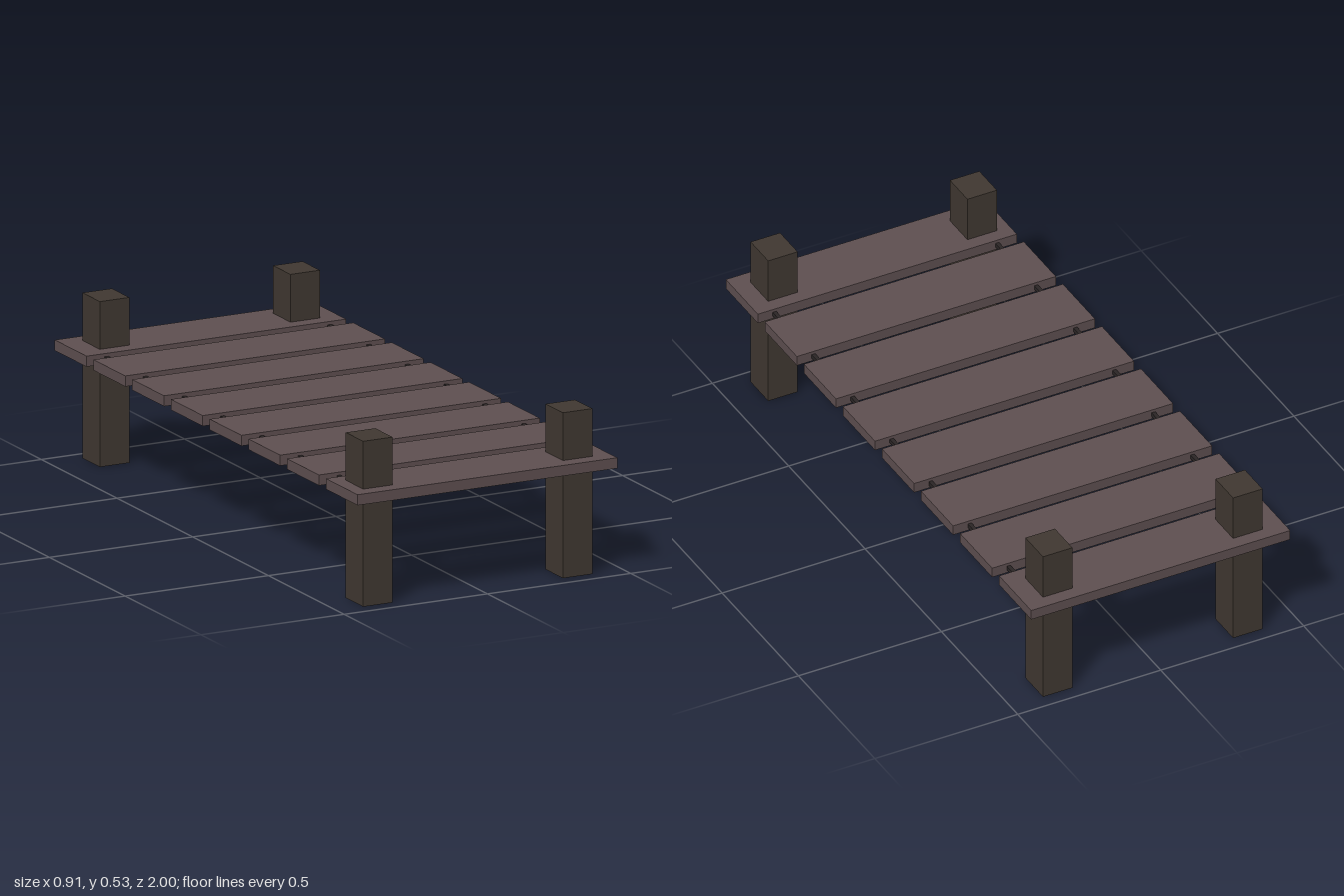
import * as THREE from 'three';

export function createModel() {
  const model = new THREE.Group();
  model.name = 'plankBridge';

  const plankWood = new THREE.MeshStandardMaterial({ color: 0x5e4f50, flatShading: true });
  const postWood = new THREE.MeshStandardMaterial({ color: 0x403831, flatShading: true });
  const ropeDark = new THREE.MeshStandardMaterial({ color: 0x2b2626, flatShading: true });

  const addBox = (name, material, [w, h, d], [x, y, z]) => {
    const mesh = new THREE.Mesh(new THREE.BoxGeometry(w, h, d), material);
    mesh.name = name;
    mesh.position.set(x, y, z);
    model.add(mesh);
  };

  // Deck: eight evenly spaced planks
  const count = 8, plankDepth = 0.21, deckY = 0.36;
  const pitch = (2 - plankDepth) / (count - 1);
  for (let i = 0; i < count; i++) {
    addBox(`plank${i + 1}`, plankWood, [0.906, 0.034, plankDepth],
      [0, deckY, -1 + plankDepth / 2 + i * pitch]);
  }

  // Corner posts, set slightly unevenly and passing through the end planks
  const posts = [
    ['frontRightPost', -0.356, 0.893],
    ['frontLeftPost', 0.341, 0.893],
    ['backRightPost', -0.329, -0.897],
    ['backLeftPost', 0.336, -0.897],
  ];
  for (const [name, x, z] of posts) {
    addBox(name, postWood, [0.103, 0.53, 0.115], [x, 0.265, z]);
  }

  // Thin ropes threading the planks together
  for (const [name, x] of [['rightRope', -0.384], ['leftRope', 0.395]]) {
    addBox(name, ropeDark, [0.013, 0.014, 1.79], [x, deckY, 0]);
  }

  return model;
}
